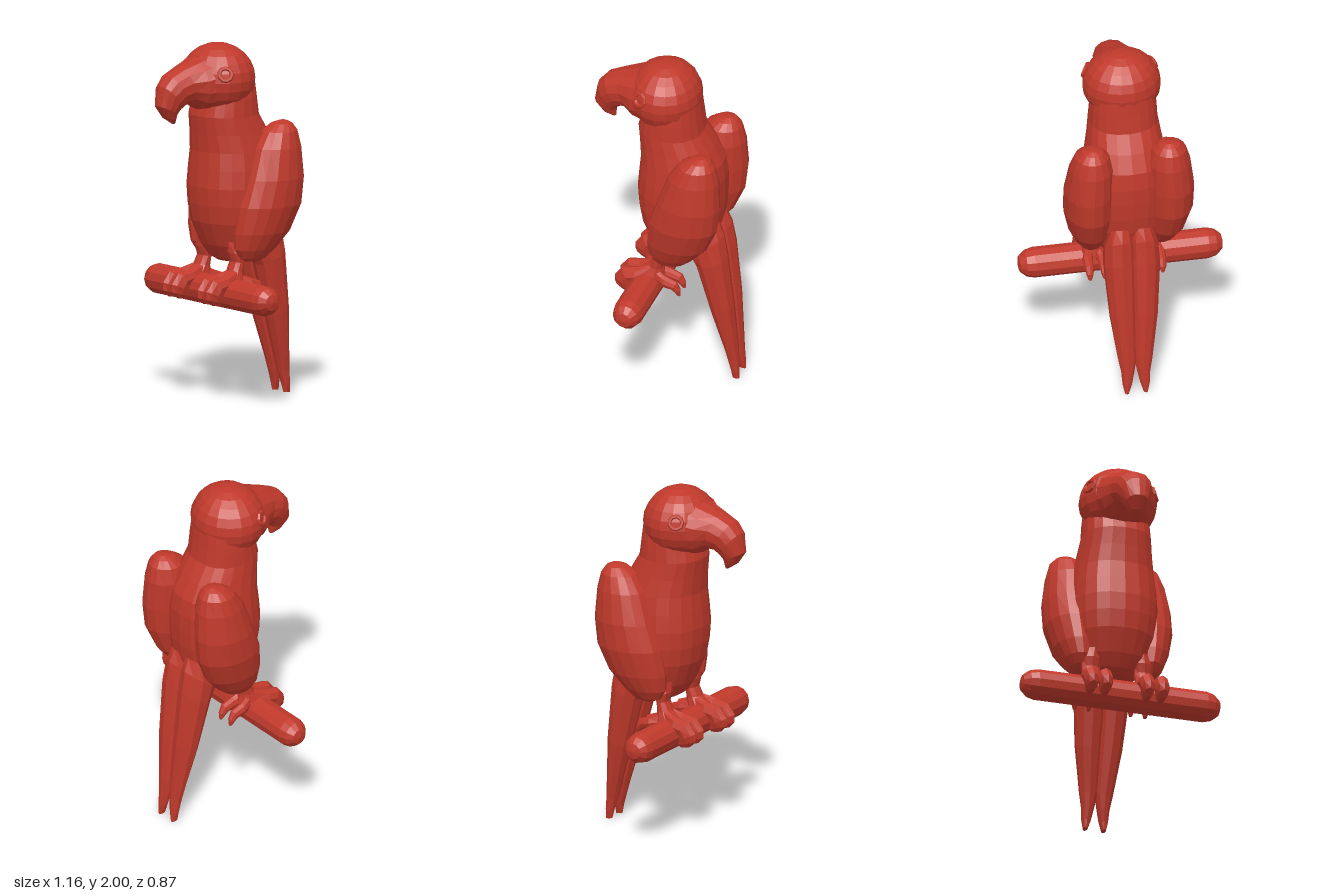
import * as THREE from 'three';

const material = new THREE.MeshStandardMaterial({ color: 0xc0392b, flatShading: true });

// Skin over oval rings. Each section: [zA, yA, zB, yB, halfWidth, xCentre],
// where A and B are opposite points of the ring in the side plane.
// A power below 1 makes the rings squarer.
function loft(sections, sides = 16, side = 1, power = 1) {
  const pos = [], index = [];
  const bulge = (t) => Math.sign(t) * Math.abs(t) ** power;
  for (const [zA, yA, zB, yB, w, xc = 0] of sections) {
    for (let j = 0; j < sides; j++) {
      const a = (j / sides) * Math.PI * 2, c = bulge(Math.cos(a)) / 2;
      pos.push(side * xc + w * bulge(Math.sin(a)), (yA + yB) / 2 + (yA - yB) * c, (zA + zB) / 2 + (zA - zB) * c);
    }
  }
  const last = sections.length - 1;
  for (let i = 0; i < last; i++) {
    for (let j = 0; j < sides; j++) {
      const k = (j + 1) % sides, a = i * sides, b = a + sides;
      index.push(a + j, a + k, b + k, a + j, b + k, b + j);
    }
  }
  // end caps
  for (let j = 1; j < sides - 1; j++) {
    const b = last * sides;
    index.push(0, j + 1, j, b, b + j, b + j + 1);
  }
  // turn faces outward if the rings run the other way
  const v = (n) => new THREE.Vector3().fromArray(pos, index[n] * 3);
  let volume = 0;
  for (let n = 0; n < index.length; n += 3) volume += v(n).dot(v(n + 1).cross(v(n + 2)));
  if (volume < 0) index.reverse();
  const g = new THREE.BufferGeometry();
  g.setAttribute('position', new THREE.Float32BufferAttribute(pos, 3));
  g.setIndex(index);
  g.computeVertexNormals();
  return g;
}

// Section lying level at height y
const level = (y, zFront, zBack, w, xc) => [zFront, y, zBack, y, w, xc];

export function createModel() {
  const model = new THREE.Group();
  const add = (name, geometry) => {
    const mesh = new THREE.Mesh(geometry, material);
    mesh.name = name;
    model.add(mesh);
    return mesh;
  };

  // Body and neck, running up into the head
  add('body', loft([
    level(0.775, 0.0, -0.13, 0.08),
    level(0.8, 0.04, -0.2, 0.14),
    level(0.87, 0.085, -0.26, 0.19),
    level(1.0, 0.14, -0.31, 0.23),
    level(1.1, 0.158, -0.325, 0.243),
    level(1.2, 0.165, -0.33, 0.246),
    level(1.3, 0.157, -0.33, 0.24),
    level(1.4, 0.148, -0.315, 0.227),
    level(1.5, 0.155, -0.265, 0.208),
    level(1.6, 0.165, -0.205, 0.193),
    level(1.7, 0.14, -0.19, 0.187),
    level(1.8, 0.1, -0.178, 0.17),
  ], 20, 1, 0.88));

  // Head
  const head = add('head', new THREE.SphereGeometry(1, 18, 12));
  head.scale.set(0.22, 0.2, 0.205);
  head.position.set(0, 1.8, 0.02);

  // Hooked beak, from the face out to the tip
  add('beak', loft([
    [0.08, 1.97, 0.1, 1.63, 0.19],
    [0.2, 1.92, 0.17, 1.64, 0.155],
    [0.29, 1.885, 0.22, 1.675, 0.115],
    [0.37, 1.845, 0.26, 1.675, 0.105],
    [0.415, 1.79, 0.295, 1.65, 0.09],
    [0.435, 1.68, 0.312, 1.625, 0.065],
    [0.39, 1.61, 0.315, 1.595, 0.04],
    [0.33, 1.57, 0.315, 1.575, 0.01],
  ], 14, 1, 0.92));

  // Perch with rounded ends
  const perchProfile = [[0, -0.58], [0.045, -0.57], [0.075, -0.535], [0.086, -0.49],
    [0.086, 0.49], [0.075, 0.535], [0.045, 0.57], [0, 0.58]];
  const perch = add('perch', new THREE.LatheGeometry(perchProfile.map((p) => new THREE.Vector2(...p)), 12));
  perch.rotation.z = Math.PI / 2;
  perch.position.set(0, 0.614, 0.061);

  for (const side of [1, -1]) {
    const label = side > 0 ? 'left' : 'right';

    // Eye rim sunk into the head
    const eye = add(label + 'EyeRim', new THREE.TorusGeometry(0.036, 0.012, 6, 9));
    eye.position.set(side * 0.188, 1.85, 0.105);
    eye.lookAt(side * (0.188 + 3.99), 1.85 + 1.25, 0.105 + 2.02);

    // Folded wing with a rounded shoulder
    add(label + 'Wing', loft([
      level(1.565, -0.25, -0.29, 0.02, 0.215),
      level(1.55, -0.2, -0.32, 0.06, 0.217),
      level(1.51, -0.14, -0.348, 0.095, 0.218),
      level(1.42, -0.08, -0.37, 0.122, 0.218),
      level(1.25, -0.02, -0.38, 0.137, 0.228),
      level(1.1, 0.03, -0.365, 0.137, 0.226),
      level(0.95, 0.05, -0.3, 0.115, 0.213),
      level(0.86, 0.045, -0.22, 0.085, 0.203),
      level(0.81, 0.015, -0.16, 0.055, 0.2),
      level(0.79, -0.03, -0.12, 0.025, 0.2),
    ], 16, side));

    // Long tail feather, meeting its twin down to the forked tips
    add(label + 'TailFeather', loft([
      [-0.22, 0.98, -0.315, 1.03, 0.06, 0.06],
      [-0.15, 0.8, -0.348, 0.96, 0.088, 0.066],
      [-0.19, 0.74, -0.37, 0.82, 0.092, 0.068],
      [-0.275, 0.44, -0.403, 0.5, 0.076, 0.06],
      [-0.345, 0.2, -0.422, 0.22, 0.053, 0.045],
      [-0.365, 0.12, -0.428, 0.13, 0.037, 0.045],
      [-0.385, 0.05, -0.432, 0.06, 0.027, 0.05],
      [-0.392, 0.005, -0.433, 0.0, 0.013, 0.053],
    ], 10, side));

    // Leg, widening into the foot
    add(label + 'Leg', loft([
      [0.05, 0.9, -0.1, 0.88, 0.05, 0.14],
      [0.05, 0.84, -0.06, 0.83, 0.062, 0.15],
      [0.035, 0.79, -0.03, 0.78, 0.054, 0.152],
      [0.06, 0.74, -0.025, 0.73, 0.055, 0.155],
      [0.12, 0.7, -0.04, 0.66, 0.07, 0.16],
    ], 10, side));

    // Stout toes gripping the perch: two in front, two behind
    for (const [root, x] of [[0.135, 0.122], [0.18, 0.205]]) {
      add(label + 'FrontToe', loft([
        [0.03, 0.75, 0.04, 0.65, 0.035, root],
        [0.12, 0.72, 0.11, 0.63, 0.042, x],
        [0.2, 0.705, 0.14, 0.62, 0.043, x],
        [0.245, 0.645, 0.14, 0.595, 0.04, x],
        [0.245, 0.6, 0.13, 0.57, 0.03, x],
        [0.21, 0.565, 0.14, 0.555, 0.015, x],
      ], 8, side));
      add(label + 'BackToe', loft([
        [0.02, 0.73, 0.02, 0.63, 0.032, root],
        [-0.05, 0.7, -0.045, 0.63, 0.03, x],
        [-0.12, 0.675, -0.09, 0.625, 0.026, x],
        [-0.142, 0.63, -0.11, 0.61, 0.02, x],
        [-0.142, 0.59, -0.12, 0.595, 0.01, x],
      ], 8, side));
    }
  }
  return model;
}
